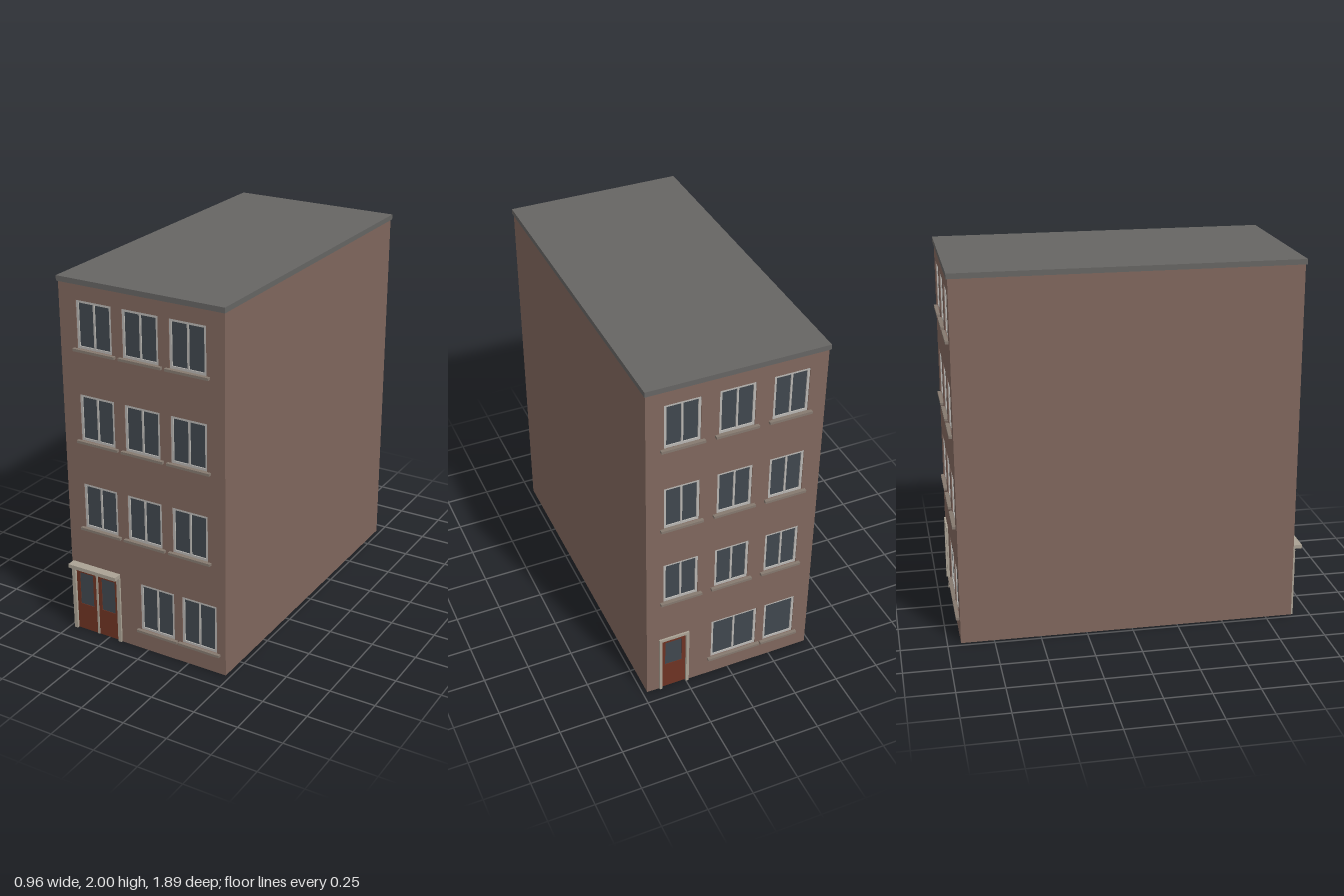
import * as THREE from 'three';

const mat = (color, side = THREE.FrontSide) =>
  new THREE.MeshStandardMaterial({ color, side });
const M = {
  wall: mat(0x80675d, THREE.DoubleSide),
  roof: mat(0x666563),
  frame: mat(0xb8b6b2),
  glass: mat(0x40474e),
  sill: mat(0x85796f),
  trim: mat(0xaaa294),
  door: mat(0x6e3323),
};
const HALF_W = 0.475, TOP = 1.975, WALL_T = 0.014;

function add(parent, name, geometry, material, x = 0, y = 0, z = 0) {
  const mesh = new THREE.Mesh(geometry, material);
  mesh.name = name;
  mesh.position.set(x, y, z);
  parent.add(mesh);
  return mesh;
}

// box given by its lower and upper limits
function block(parent, name, material, [x0, x1], [y0, y1], [z0, z1]) {
  return add(parent, name, new THREE.BoxGeometry(x1 - x0, y1 - y0, z1 - z0), material,
    (x0 + x1) / 2, (y0 + y1) / 2, (z0 + z1) / 2);
}

// rectangular path, usable as an outline or as a hole
function rect(PathType, x0, x1, y0, y1) {
  const p = new PathType();
  p.moveTo(x0, y0);
  p.lineTo(x1, y0);
  p.lineTo(x1, y1);
  p.lineTo(x0, y1);
  p.closePath();
  return p;
}

const extrude = (shape, depth) =>
  new THREE.ExtrudeGeometry(shape, { depth, bevelEnabled: false });

// recessed window: pierced frame, glass behind it, projecting sill
function buildWindow({ x, w, y0, y1, panes = 2 }) {
  const g = new THREE.Group();
  g.name = 'window';
  const b = 0.013, m = 0.01;
  const frame = rect(THREE.Shape, -w / 2, w / 2, y0, y1);
  const pw = (w - 2 * b - (panes - 1) * m) / panes;
  for (let i = 0; i < panes; i++) {
    const px = -w / 2 + b + i * (pw + m);
    frame.holes.push(rect(THREE.Path, px, px + pw, y0 + b, y1 - b));
  }
  add(g, 'windowFrame', extrude(frame, 0.01), M.frame, 0, 0, -0.014);
  block(g, 'windowGlass', M.glass, [-w / 2, w / 2], [y0, y1], [-0.018, -0.01]);
  block(g, 'windowSill', M.sill, [-w / 2 - 0.02, w / 2 + 0.02], [y0 - 0.014, y0], [-0.012, 0.018]);
  g.position.x = x;
  return g;
}

// door with surround, one or two glazed leaves
function buildDoor({ x0, x1, h, border, leaves, glassY }) {
  const g = new THREE.Group();
  g.name = 'door';
  const gap = 0.012;
  block(g, 'doorPost', M.trim, [x0, x0 + border], [0, h], [-0.014, 0.01]);
  block(g, 'doorPost', M.trim, [x1 - border, x1], [0, h], [-0.014, 0.01]);
  block(g, 'doorLintel', M.trim, [x0 + border, x1 - border], [h - border, h], [-0.014, 0.01]);
  const a = x0 + border, lw = (x1 - border - a - (leaves - 1) * gap) / leaves;
  for (let i = 0; i < leaves; i++) {
    const l = a + i * (lw + gap), r = l + lw;
    const leaf = rect(THREE.Shape, l, r, 0, h - border);
    leaf.holes.push(rect(THREE.Path, l + 0.021, r - 0.021, glassY[0], glassY[1]));
    add(g, 'doorLeaf', extrude(leaf, 0.01), M.door, 0, 0, -0.014);
    block(g, 'doorGlass', M.glass, [l + 0.015, r - 0.015], glassY, [-0.014, -0.007]);
    if (i) block(g, 'doorMiddlePost', M.trim, [l - gap, l], [0, h - border], [-0.014, 0]);
  }
  return g;
}

// end wall with openings; its outer face lies on local z = 0
function buildFacade(name, windows, door) {
  const g = new THREE.Group();
  g.name = name;
  const d0 = door.x0 + door.border / 2, d1 = door.x1 - door.border / 2;
  const dh = door.h - door.border / 2;
  const wall = new THREE.Shape([
    [-HALF_W, 0], [d0, 0], [d0, dh], [d1, dh], [d1, 0],
    [HALF_W, 0], [HALF_W, TOP], [-HALF_W, TOP],
  ].map(([x, y]) => new THREE.Vector2(x, y)));
  for (const o of windows) {
    wall.holes.push(rect(THREE.Path, o.x - o.w / 2, o.x + o.w / 2, o.y0, o.y1));
    g.add(buildWindow(o));
  }
  add(g, name + 'Wall', extrude(wall, WALL_T), M.wall, 0, 0, -WALL_T);
  g.add(buildDoor(door));
  return g;
}

// three upper floors of three windows each
function upperWindows(spacing, w) {
  const list = [];
  for (let floor = 0; floor < 3; floor++)
    for (let i = -1; i <= 1; i++)
      list.push({ x: i * spacing, w, y0: 0.637 + floor * 0.5, y1: 0.89 + floor * 0.5 });
  return list;
}

export function createModel() {
  const model = new THREE.Group();
  model.name = 'townhouse';
  const zFront = 0.897, zBack = -0.928;

  // street side, double door under a canopy
  const front = buildFacade('front', [
    ...upperWindows(0.27, 0.207),
    { x: 0.064, w: 0.207, y0: 0.117, y1: 0.39 },
    { x: 0.319, w: 0.207, y0: 0.117, y1: 0.39 },
  ], { x0: -0.474, x1: -0.166, h: 0.386, border: 0.021, leaves: 2, glassY: [0.155, 0.345] });
  block(front, 'doorCanopy', M.trim, [-0.466, -0.167], [0.39, 0.411], [-0.01, 0.049]);
  front.position.z = zFront;

  // courtyard side, turned round so local x runs the other way
  const back = buildFacade('back', [
    ...upperWindows(0.285, 0.19),
    { x: 0.03, w: 0.265, y0: 0.117, y1: 0.38 },
    { x: 0.3, w: 0.18, y0: 0.117, y1: 0.38, panes: 1 },
  ], { x0: -0.405, x1: -0.235, h: 0.37, border: 0.016, leaves: 1, glassY: [0.165, 0.325] });
  back.position.z = zBack;
  back.rotation.y = Math.PI;
  model.add(front, back);

  // plain side walls; the underside is open
  for (const s of [-1, 1]) {
    const side = add(model, s > 0 ? 'leftWall' : 'rightWall',
      new THREE.PlaneGeometry(zFront - zBack, TOP), M.wall,
      s * HALF_W, TOP / 2, (zFront + zBack) / 2);
    side.rotation.y = s * Math.PI / 2;
  }

  // flat roof slab with a slight overhang
  block(model, 'roof', M.roof, [-0.481, 0.481], [1.972, 2], [zBack - 0.008, zFront + 0.008]);
  return model;
}
